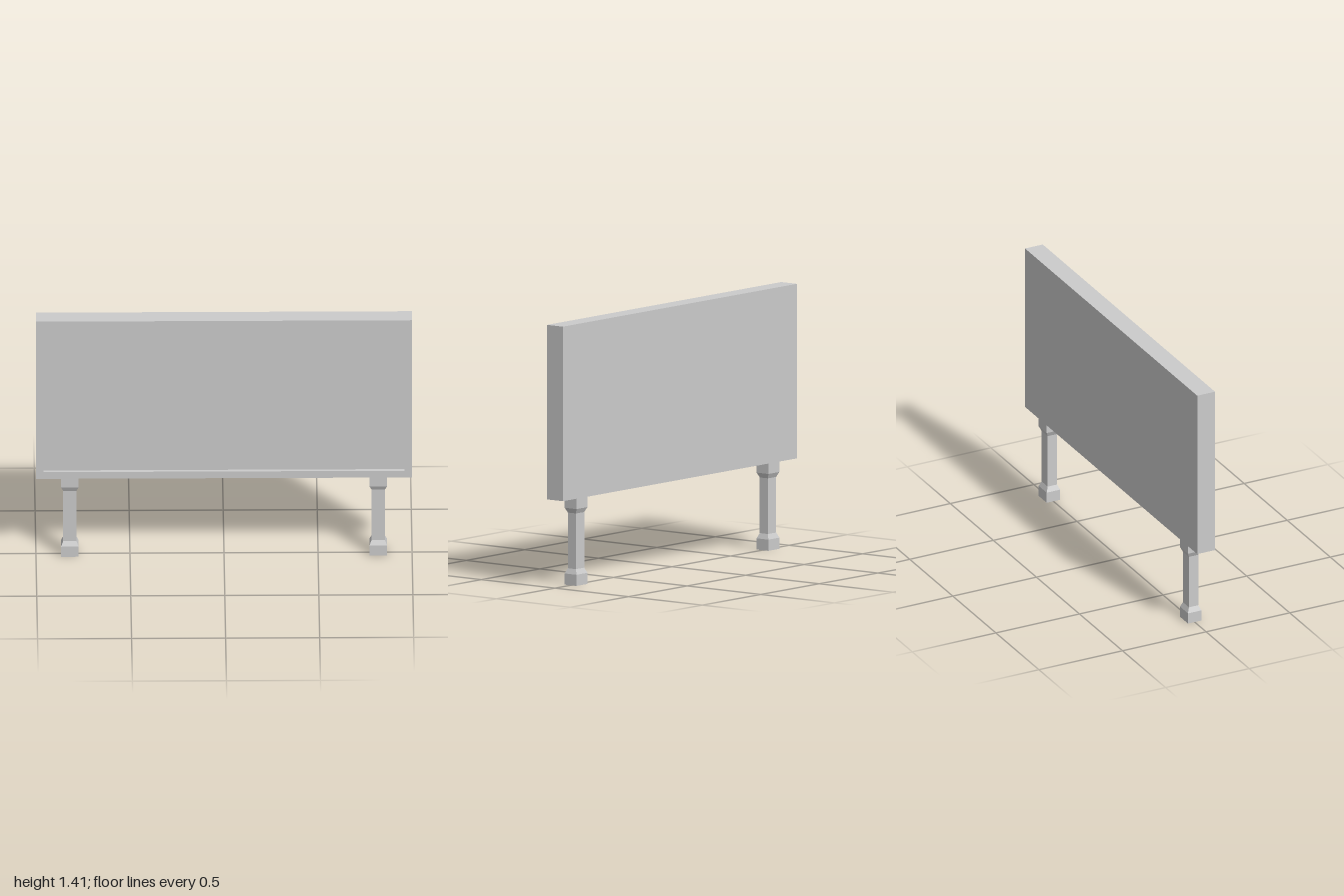
import * as THREE from 'three';

const WIDTH = 2, BOTTOM = 0.472, TOP = 1.41, DEPTH = 0.106;
const BORDER = 0.04, RECESS = 0.02;
const LEG_X = 0.82, LEG_HALF_X = 0.035, LEG_HALF_Z = 0.028, FLARE = 0.012;

const rectangle = (Type, w, h) => new Type([
  new THREE.Vector2(-w / 2, -h / 2), new THREE.Vector2(w / 2, -h / 2),
  new THREE.Vector2(w / 2, h / 2), new THREE.Vector2(-w / 2, h / 2),
]);

// Open four-sided tube, flared into a block at the foot and at the top
function legGeometry() {
  const profile = [
    [FLARE, 0], [FLARE, 0.06], [0, 0.088],
    [0, 0.387], [FLARE, 0.413], [FLARE, BOTTOM],
  ].map(([flare, y]) => new THREE.Vector2(1 + flare, y));
  const geometry = new THREE.LatheGeometry(profile, 4, Math.PI / 4).toNonIndexed();
  const p = geometry.attributes.position;
  for (let i = 0; i < p.count; i++) {
    const x = p.getX(i), z = p.getZ(i);
    const flare = Math.hypot(x, z) - 1;
    p.setX(i, Math.sign(x) * (LEG_HALF_X + flare));
    p.setZ(i, Math.sign(z) * (LEG_HALF_Z + flare));
  }
  geometry.computeVertexNormals();
  return geometry;
}

export function createModel() {
  const model = new THREE.Group();
  model.name = 'signboard';
  const solid = new THREE.MeshStandardMaterial({ color: 0xcccccc, flatShading: true });
  const open = new THREE.MeshStandardMaterial({
    color: 0xcccccc, flatShading: true, side: THREE.DoubleSide,
  });
  const add = (name, geometry, material, x, y, z) => {
    const mesh = new THREE.Mesh(geometry, material);
    mesh.name = name;
    mesh.position.set(x, y, z);
    model.add(mesh);
  };

  const height = TOP - BOTTOM, midY = (TOP + BOTTOM) / 2;

  // Back slab, whose front is the recessed display face
  add('panel', new THREE.BoxGeometry(WIDTH, height, DEPTH - RECESS), solid, 0, midY, -RECESS / 2);

  // Raised border around the display face
  const border = rectangle(THREE.Shape, WIDTH, height);
  border.holes.push(rectangle(THREE.Path, WIDTH - 2 * BORDER, height - 2 * BORDER));
  add('frame', new THREE.ExtrudeGeometry(border, { depth: RECESS, bevelEnabled: false }),
    solid, 0, midY, DEPTH / 2 - RECESS);

  // Pair of legs
  const leg = legGeometry();
  add('leftLeg', leg, open, LEG_X, 0, 0);
  add('rightLeg', leg, open, -LEG_X, 0, 0);

  return model;
}
